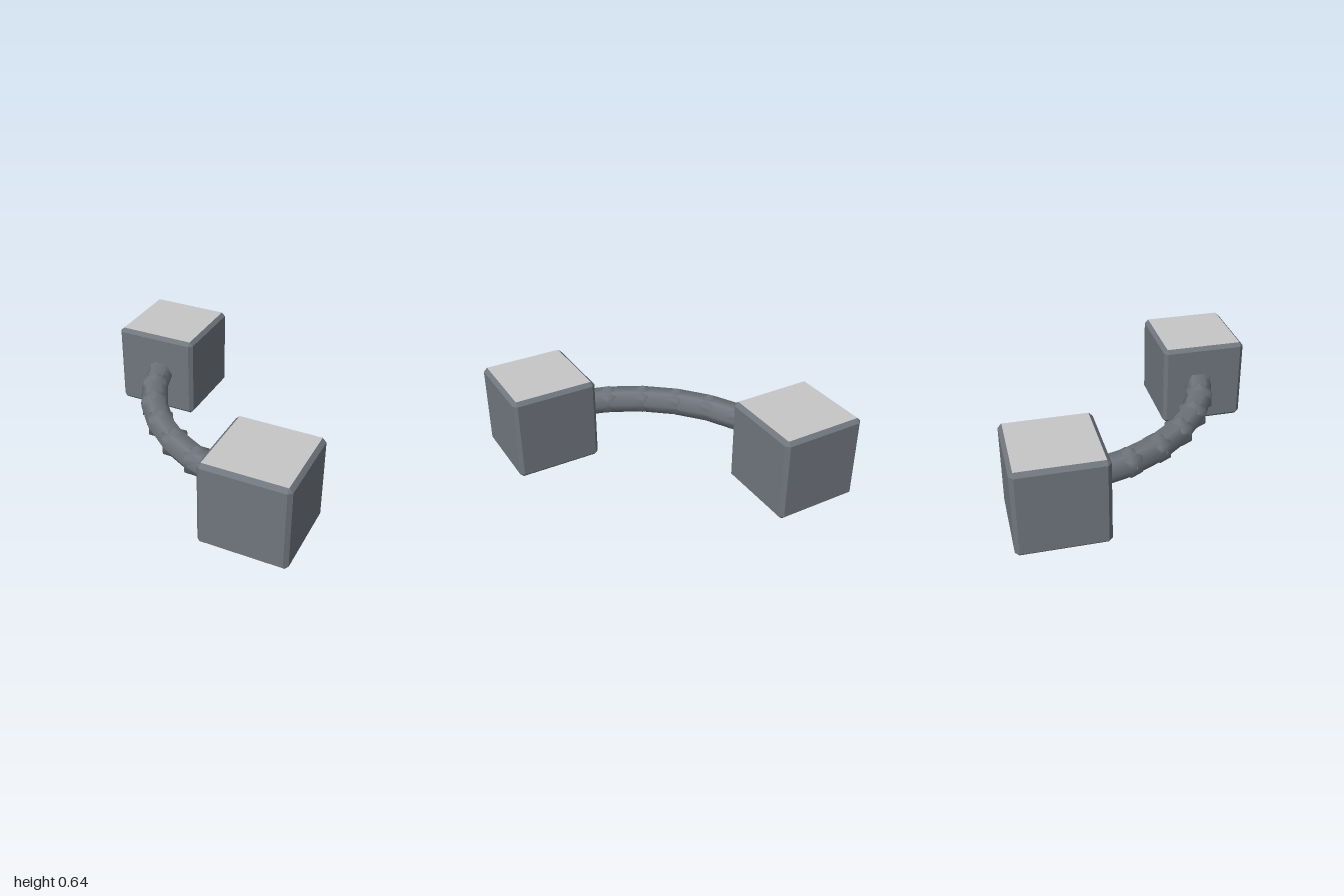
import * as THREE from 'three';
import { ConvexGeometry } from 'three/addons/geometries/ConvexGeometry.js';

const SIZE = 0.64, CHAMFER = 0.028;
const ARC_R = 1.36, SEGMENTS = 8, MID_Y = 0.325;

// Cube with flat chamfers; group 1 holds the top and bottom faces
function chamferedCube(size, chamfer) {
  const h = size / 2, k = h - chamfer, points = [];
  for (const x of [-1, 1]) for (const y of [-1, 1]) for (const z of [-1, 1]) {
    points.push(
      new THREE.Vector3(x * h, y * k, z * k),
      new THREE.Vector3(x * k, y * h, z * k),
      new THREE.Vector3(x * k, y * k, z * h));
  }
  const geometry = new ConvexGeometry(points);
  const normal = geometry.attributes.normal;
  for (let i = 0; i < normal.count; i += 3) {
    geometry.addGroup(i, 3, Math.abs(normal.getY(i)) > 0.99 ? 1 : 0);
  }
  return geometry;
}

// Point on the quarter circle joining the two cubes
function arcPoint(i) {
  const a = (i / SEGMENTS) * Math.PI / 2;
  return new THREE.Vector3(0.68 - ARC_R * Math.cos(a), MID_Y, -0.68 + ARC_R * Math.sin(a));
}

export function createModel() {
  const model = new THREE.Group();
  model.name = 'linkedCubes';

  const slate = new THREE.MeshStandardMaterial({ color: 0x70767e });
  slate.name = 'slateGrey';
  const pale = new THREE.MeshStandardMaterial({ color: 0xc6c6c6 });
  pale.name = 'paleGrey';

  // End cubes
  const cube = chamferedCube(SIZE, CHAMFER);
  for (const [name, s] of [['backCube', -1], ['frontCube', 1]]) {
    const mesh = new THREE.Mesh(cube, [slate, pale]);
    mesh.name = name;
    mesh.position.set(0.68 * s, SIZE / 2, 0.68 * s);
    model.add(mesh);
  }

  // Curved link of straight hexagonal rods
  const link = new THREE.Group();
  link.name = 'curvedLink';
  model.add(link);
  const length = arcPoint(0).distanceTo(arcPoint(1));
  const rod = new THREE.CylinderGeometry(0.1, 0.1, length, 6).rotateZ(Math.PI / 2);
  for (let i = 0; i < SEGMENTS; i++) {
    const p = arcPoint(i), q = arcPoint(i + 1);
    const mesh = new THREE.Mesh(rod, slate);
    mesh.name = 'linkRod';
    mesh.position.copy(p).add(q).multiplyScalar(0.5);
    mesh.rotation.y = Math.atan2(p.z - q.z, q.x - p.x);
    link.add(mesh);
  }

  // Knuckles at the joints
  const knuckle = new THREE.SphereGeometry(0.118, 6, 3);
  for (let i = 1; i < SEGMENTS; i++) {
    const mesh = new THREE.Mesh(knuckle, slate);
    mesh.name = 'knuckle';
    mesh.position.copy(arcPoint(i));
    link.add(mesh);
  }
  return model;
}
